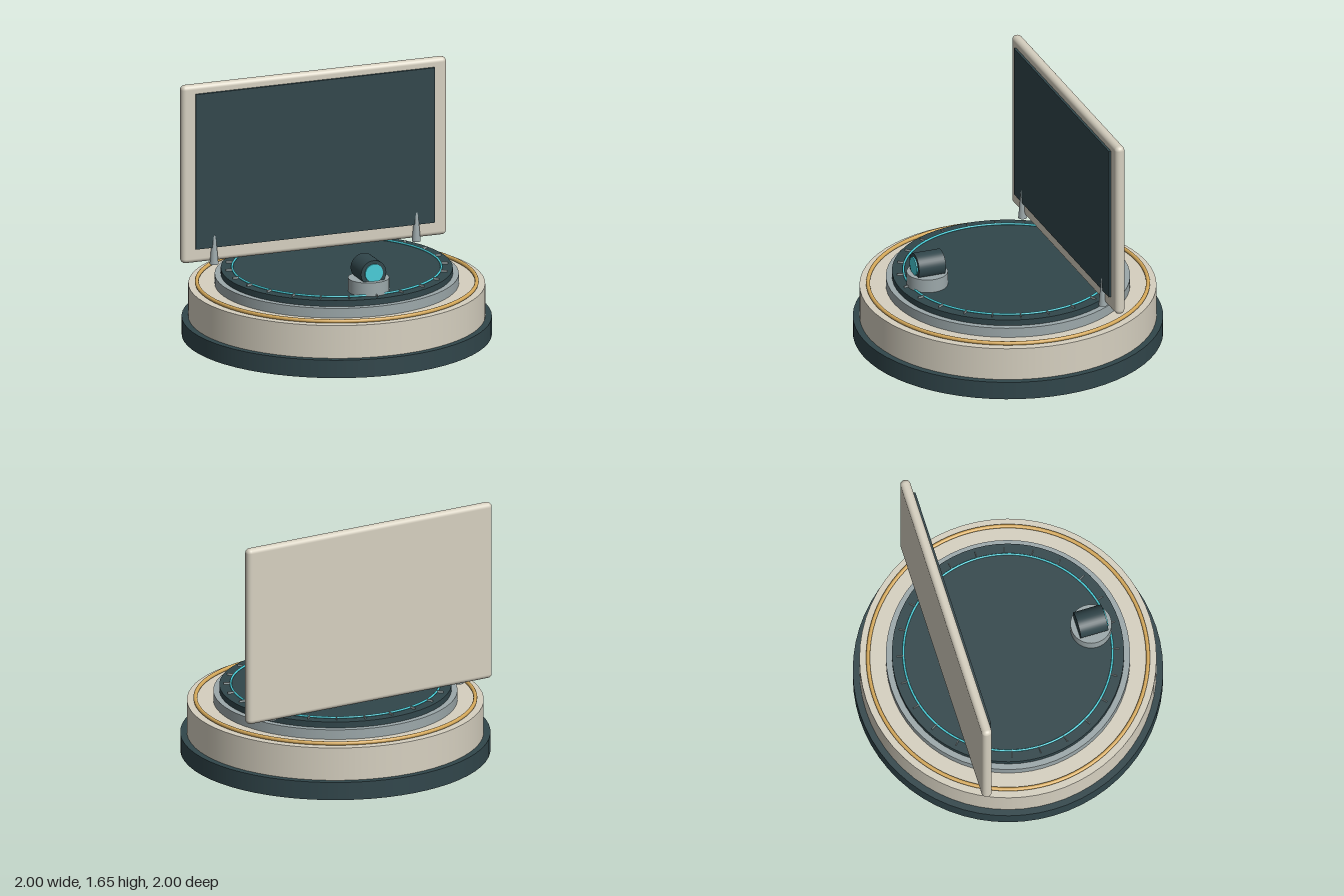
import * as THREE from 'three';
import { RoundedBoxGeometry } from 'three/addons/geometries/RoundedBoxGeometry.js';

const material = (color) => new THREE.MeshStandardMaterial({ color });

export function createModel() {
  const model = new THREE.Group();
  const dark = material(0x31464b);
  const cream = material(0xd6d0c0);
  const grey = material(0x9ca8aa);
  const gold = material(0xd4a85a);
  const cyan = material(0x48cdd8);

  const add = (name, geometry, mat, x = 0, y = 0, z = 0) => {
    const mesh = new THREE.Mesh(geometry, mat);
    mesh.name = name;
    mesh.position.set(x, y, z);
    model.add(mesh);
    return mesh;
  };
  // Upright disc between two heights
  const disc = (name, radius, y0, y1, mat, x = 0, z = 0) =>
    add(name, new THREE.CylinderGeometry(radius, radius, y1 - y0, 64), mat, x, (y0 + y1) / 2, z);
  // Flat-lying ring
  const ring = (name, radius, tube, y, mat) => {
    const mesh = add(name, new THREE.TorusGeometry(radius, tube, 12, 96), mat, 0, y, 0);
    mesh.rotation.x = Math.PI / 2;
  };

  // Stepped round base
  disc('baseFoot', 1, 0, 0.12, dark);
  disc('baseBody', 0.957, 0.12, 0.34, cream);
  ring('goldTrim', 0.902, 0.013, 0.353, gold);
  disc('stepCollar', 0.787, 0.34, 0.405, grey);
  disc('turntable', 0.748, 0.405, 0.445, dark);
  ring('glowRing', 0.674, 0.007, 0.451, cyan);

  // Dial ticks around the turntable
  for (let i = 0; i < 24; i++) {
    const a = (i / 24) * Math.PI * 2;
    const tick = add('dialTick', new THREE.BoxGeometry(0.006, 0.014, 0.045), grey,
      Math.sin(a) * 0.697, 0.452, Math.cos(a) * 0.697);
    tick.rotation.y = a;
  }

  // Screen with its dark panel
  add('screenFrame', new RoundedBoxGeometry(1.834, 1.195, 0.066, 5, 0.03), cream, 0, 1.054, -0.418);
  add('screenPanel', new THREE.BoxGeometry(1.655, 1.042, 0.025), dark, 0, 1.073, -0.382);

  // Tapered posts holding the screen
  for (const side of [-1, 1]) {
    add(side > 0 ? 'leftPost' : 'rightPost',
      new THREE.CylinderGeometry(0.011, 0.029, 0.195, 24), grey, side * 0.7, 0.5375, -0.38);
  }

  // Small projector on a round stand
  disc('projectorStand', 0.133, 0.44, 0.535, grey, 0, 0.56);
  const body = add('projectorBody', new THREE.CylinderGeometry(0.087, 0.087, 0.185, 40), dark, 0, 0.585, 0.557);
  body.rotation.x = Math.PI / 2;
  const lens = add('projectorLens', new THREE.CylinderGeometry(0.061, 0.061, 0.02, 40), cyan, 0, 0.588, 0.648);
  lens.rotation.x = Math.PI / 2;

  return model;
}
